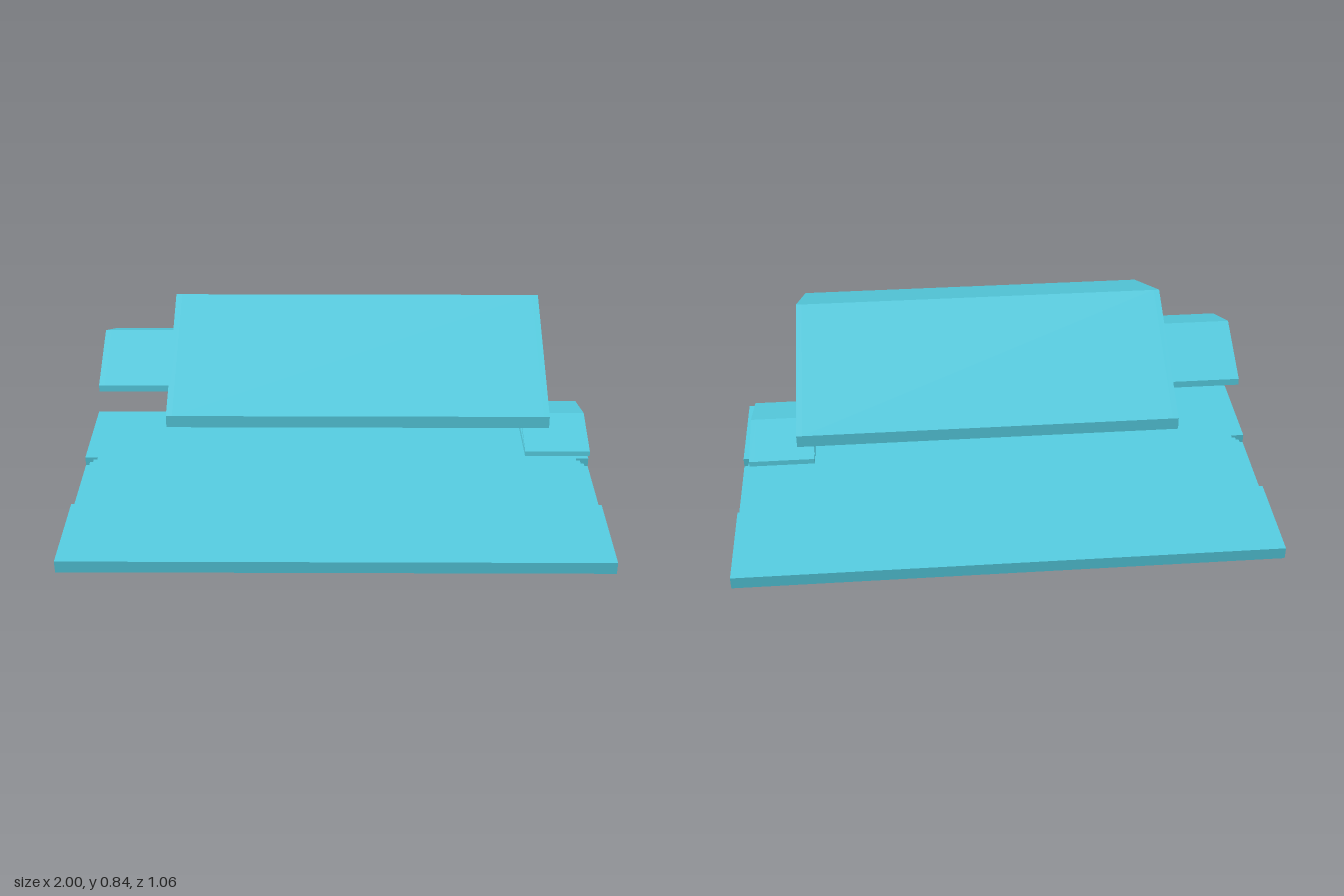
import * as THREE from 'three';

const material = new THREE.MeshStandardMaterial({ color: 0x55cce0, flatShading: true, side: THREE.DoubleSide });

function polygon(points, Type = THREE.Shape) {
  return new Type(points.map(([x, y]) => new THREE.Vector2(x, y)));
}

function addMesh(parent, name, geometry) {
  const mesh = new THREE.Mesh(geometry, material);
  mesh.name = name;
  parent.add(mesh);
  return mesh;
}

// Gabled roof running along x, with a shallow framed recess in both ends
function gableRoof({ name, x0, x1, halfWidth, bottom, eave, ridge, inner }) {
  const roof = new THREE.Group();
  roof.name = name;
  const recess = 0.02;
  const outline = [
    [-halfWidth, bottom], [halfWidth, bottom], [halfWidth - 0.003, eave],
    [0, ridge], [-halfWidth + 0.003, eave],
  ];
  const [iw, iy, it] = inner;
  const extrude = (partName, shape, from, to) => {
    const geometry = new THREE.ExtrudeGeometry(shape, { depth: to - from, bevelEnabled: false });
    geometry.rotateY(Math.PI / 2).translate(from, 0, 0);
    addMesh(roof, partName, geometry);
  };
  extrude('roofBody', polygon(outline), x0 + recess, x1 - recess);
  for (const from of [x0, x1 - recess]) {
    const frame = polygon(outline);
    frame.holes.push(polygon([[-iw, iy], [0, it], [iw, iy]], THREE.Path));
    extrude('gableTrim', frame, from, from + recess);
  }
  return roof;
}

// Hollow platform, open underneath, with steps let into both ends
function platform() {
  const group = new THREE.Group();
  group.name = 'platform';
  const X = 1, Z = 0.53, H = 0.047, W = 0.165, inner = 0.95;
  const low = 0.012;

  const deck = new THREE.ShapeGeometry(polygon([
    [-X, -Z], [X, -Z], [X, -W], [inner, -W], [inner, W], [X, W],
    [X, Z], [-X, Z], [-X, W], [-inner, W], [-inner, -W], [-X, -W],
  ]));
  addMesh(group, 'deck', deck.rotateX(-Math.PI / 2).translate(0, H, 0));

  for (const s of [1, -1]) {
    const turn = s > 0 ? 0 : Math.PI;
    const side = new THREE.PlaneGeometry(2 * X, H).translate(0, H / 2, Z).rotateY(turn);
    addMesh(group, 'sideWall', side);

    const end = new THREE.Group();
    end.name = 'steppedEnd';
    end.rotation.y = turn;
    group.add(end);

    const wall = new THREE.ShapeGeometry(polygon([
      [-Z, 0], [Z, 0], [Z, H], [W, H], [W, low], [-W, low], [-W, H], [-Z, H],
    ]));
    addMesh(end, 'endWall', wall.rotateY(Math.PI / 2).translate(X, 0, 0));

    // Step profile from the outer edge up to the deck
    const profile = [
      [X, low], [0.983, low], [0.983, 0.025], [0.967, 0.025],
      [0.967, 0.037], [inner, 0.037], [inner, H],
    ];
    for (let i = 0; i < profile.length - 1; i++) {
      const [ax, ay] = profile[i], [bx, by] = profile[i + 1];
      const flat = ay === by;
      const geometry = new THREE.PlaneGeometry(flat ? ax - bx : 2 * W, flat ? 2 * W : by - ay);
      if (flat) geometry.rotateX(-Math.PI / 2);
      else geometry.rotateY(Math.PI / 2);
      addMesh(end, flat ? 'tread' : 'riser', geometry.translate((ax + bx) / 2, (ay + by) / 2, 0));
    }
    // Cheeks closing the notch
    for (const z of [-W, W]) {
      const cheek = new THREE.ShapeGeometry(polygon([...profile, [X, H]]));
      if (z > 0) cheek.rotateY(Math.PI).translate(2 * X - 0.05, 0, 0).scale(-1, 1, 1).translate(2 * X - 0.05, 0, 0);
      addMesh(end, 'cheek', cheek.translate(0, 0, z));
    }
  }
  return group;
}

export function createModel() {
  const model = new THREE.Group();
  model.name = 'pavilion';
  model.add(platform());
  model.add(gableRoof({
    name: 'mainRoof', x0: -0.575, x1: 0.723, halfWidth: 0.475,
    bottom: 0.57, eave: 0.612, ridge: 0.843, inner: [0.435, 0.613, 0.822],
  }));
  model.add(gableRoof({
    name: 'rightPorchRoof', x0: -0.84, x1: -0.555, halfWidth: 0.228,
    bottom: 0.57, eave: 0.593, ridge: 0.698, inner: [0.205, 0.594, 0.685],
  }));
  model.add(gableRoof({
    name: 'leftPorchRoof', x0: 0.693, x1: 0.93, halfWidth: 0.19,
    bottom: 0.28, eave: 0.298, ridge: 0.353, inner: [0.165, 0.298, 0.34],
  }));
  return model;
}
